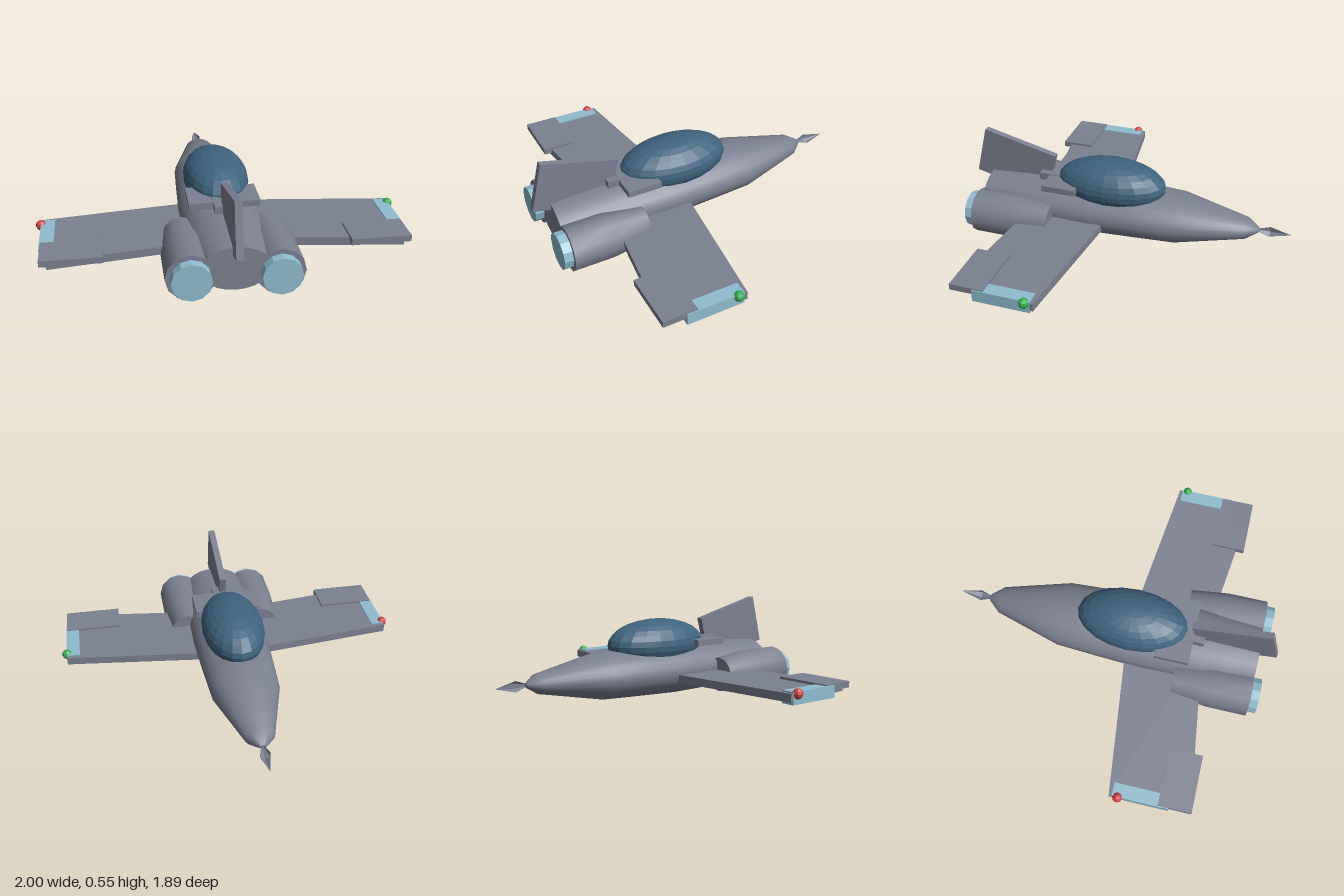
import * as THREE from 'three';
import { toCreasedNormals } from 'three/addons/utils/BufferGeometryUtils.js';

const mat = (name, color, flatShading = false) => {
  const m = new THREE.MeshStandardMaterial({ color, flatShading });
  m.name = name;
  return m;
};

export function createModel() {
  const model = new THREE.Group();
  model.name = 'jetAircraft';

  const grey = mat('hullGrey', 0x7c8191);
  const blue = mat('paleBlue', 0x8fbdd0);
  const glass = mat('canopyBlue', 0x3f647f, true);
  const red = mat('lampRed', 0xd84343, true);
  const green = mat('lampGreen', 0x35b050, true);

  const add = (name, geometry, material, x = 0, y = 0, z = 0) => {
    const mesh = new THREE.Mesh(geometry, material);
    mesh.name = name;
    mesh.position.set(x, y, z);
    model.add(mesh);
    return mesh;
  };
  // Box given by its limits on each axis
  const box = (name, material, [x0, x1], [y0, y1], [z0, z1]) =>
    add(name, new THREE.BoxGeometry(Math.abs(x1 - x0), y1 - y0, z1 - z0), material,
      (x0 + x1) / 2, (y0 + y1) / 2, (z0 + z1) / 2);
  // Body turned about the z axis from [radius, z] points
  const turned = (profile, sides, flatten = 1, crease = 0.6) => {
    const g = new THREE.LatheGeometry(profile.map(([r, z]) => new THREE.Vector2(r, z)), sides);
    g.rotateX(Math.PI / 2).scale(1, flatten, 1);
    return toCreasedNormals(g, crease);
  };

  // Fuselage, flattened in height, with a pointed probe on the nose
  add('fuselage', turned([
    [0, -0.765], [0.018, -0.76], [0.08, -0.69], [0.193, -0.305], [0.208, -0.05],
    [0.22, 0.2], [0.215, 0.42], [0.2, 0.65], [0.18, 0.85], [0, 0.85],
  ], 24, 0.67), grey, 0, 0.165, 0);
  add('noseProbe', turned([[0, -0.75], [0.01, -0.76], [0.03, -0.82], [0, -0.94]], 6, 1, 0.1),
    grey, 0, 0.165, 0);

  // Canopy
  const dome = new THREE.SphereGeometry(1, 20, 14);
  dome.scale(0.18, 0.14, 0.322);
  add('canopy', dome, glass, 0, 0.32, 0.107);

  // Raked fin and the small tailplane in front of it
  const fin = add('tailFin', new THREE.BoxGeometry(0.038, 0.289, 0.449), grey, 0, 0.355, 0.698);
  fin.rotation.x = -0.248;
  box('tailplane', grey, [-0.19, 0.19], [0.303, 0.338], [0.27, 0.467]);
  box('tailplaneMount', grey, [-0.06, 0.06], [0.295, 0.342], [0.4, 0.53]);

  for (const s of [-1, 1]) {
    const side = s > 0 ? 'left' : 'right';

    // Engine pod and nozzle
    add(side + 'Engine', turned([
      [0, 0.4], [0.1, 0.4], [0.127, 0.62], [0.127, 0.85], [0, 0.85],
    ], 12), grey, s * 0.227, 0.131, 0);
    add(side + 'Nozzle', turned([[0, 0.82], [0.103, 0.82], [0.103, 0.9], [0, 0.9]], 12, 1, 0.1),
      blue, s * 0.225, 0.131, 0);

    // Tapered wing plate
    const outline = [[0, 0.08], [0.972, 0.195], [0.93, 0.647], [0, 0.53]];
    const wing = new THREE.ExtrudeGeometry(
      new THREE.Shape(outline.map(([x, z]) => new THREE.Vector2(s * x, z))),
      { depth: 0.045, bevelEnabled: false });
    wing.rotateX(Math.PI / 2);
    add(side + 'Wing', wing, grey, 0, 0.157, 0);

    // Flap, wingtip block and navigation lamp
    box(side + 'Flap', grey, [s * 0.643, s * 0.966], [0.135, 0.17], [0.468, 0.657]);
    box(side + 'WingTip', blue, [s * 0.896, s * 0.972], [0.096, 0.164], [0.212, 0.53]);
    add(side + 'Lamp', new THREE.SphereGeometry(0.029, 8, 6), s > 0 ? green : red,
      s * 0.971, 0.152, 0.243);
  }
  return model;
}
